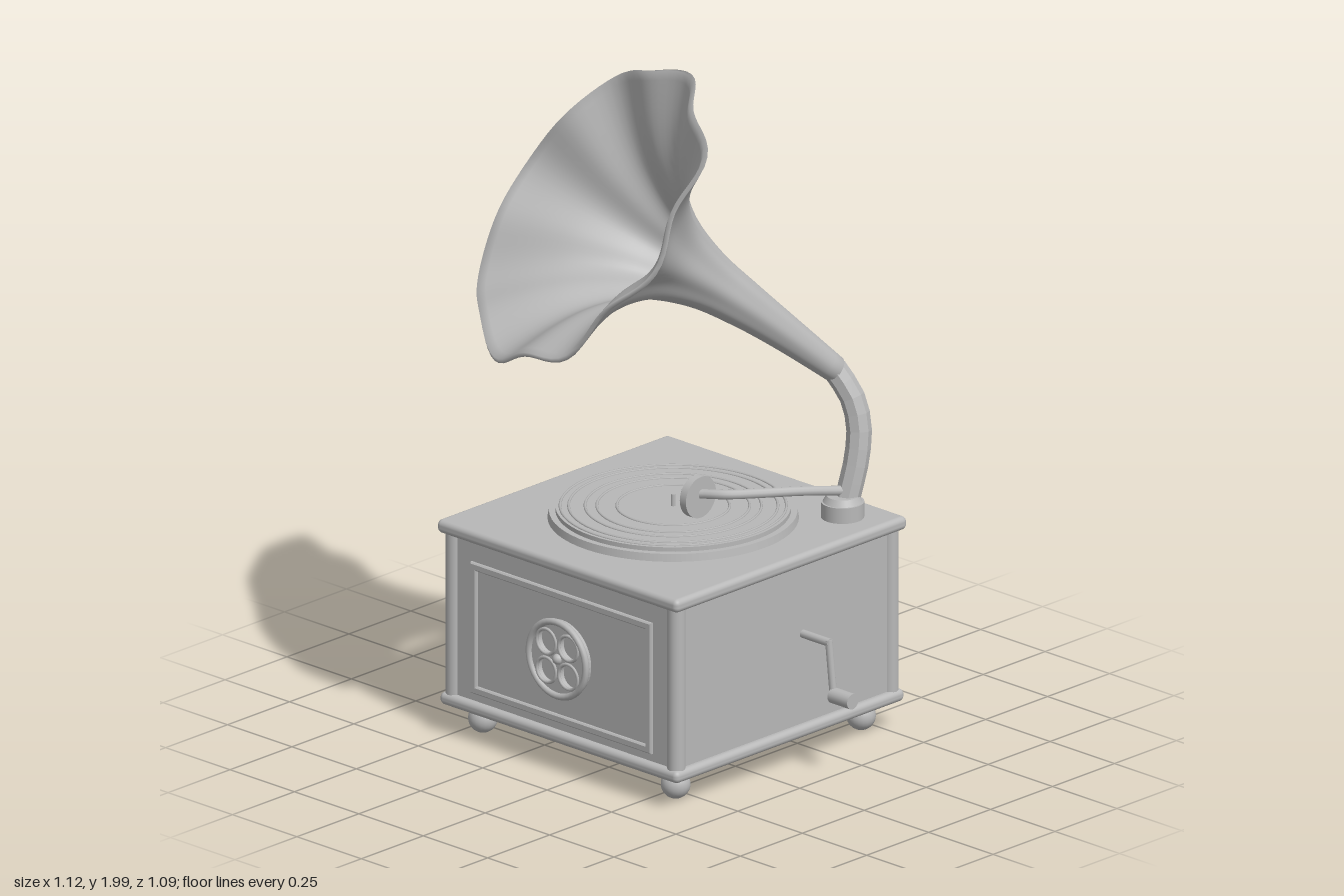
import * as THREE from 'three';
import { mergeVertices } from 'three/addons/utils/BufferGeometryUtils.js';
import { RoundedBoxGeometry } from 'three/addons/geometries/RoundedBoxGeometry.js';

const CX = -0.073, CZ = -0.08; // centre of the cabinet

export function createModel() {
  const root = new THREE.Group();
  root.name = 'gramophone';
  const grey = new THREE.MeshStandardMaterial({ color: 0xb8b8b8 });
  grey.name = 'plain grey';
  const faceted = grey.clone();
  faceted.flatShading = true;
  faceted.name = 'plain grey faceted';

  const V = (x, y, z) => new THREE.Vector3(x, y, z);
  const add = (name, geo, x = 0, y = 0, z = 0, mat = grey) => {
    const m = new THREE.Mesh(geo, mat);
    m.name = name;
    m.position.set(x, y, z);
    root.add(m);
    return m;
  };
  const cyl = (r, h, seg = 32, r2 = r) => new THREE.CylinderGeometry(r2, r, h, seg);
  const rod = (name, a, b, r, seg = 12) => {
    const m = add(name, cyl(r, a.distanceTo(b), seg));
    m.position.copy(a).lerp(b, 0.5);
    m.quaternion.setFromUnitVectors(V(0, 1, 0), b.clone().sub(a).normalize());
    return m;
  };

  // Cabinet with rounded top and bottom boards
  add('cabinetBody', new THREE.BoxGeometry(0.885, 0.5, 0.885), CX, 0.355, CZ);
  add('topBoard', new RoundedBoxGeometry(0.935, 0.04, 0.935, 3, 0.016), CX, 0.617, CZ);
  add('bottomBoard', new RoundedBoxGeometry(0.925, 0.037, 0.925, 3, 0.016), CX, 0.102, CZ);

  // Corner posts and ball feet
  for (const sx of [-1, 1]) for (const sz of [-1, 1]) {
    add('cornerPost', cyl(0.026, 0.49, 20), CX + sx * 0.43, 0.355, CZ + sz * 0.43);
    add('foot', new THREE.SphereGeometry(0.042, 20, 14), CX + sx * 0.374, 0.042, CZ + sz * 0.374);
  }

  // Front moulding
  const rect = (S, w, h) => {
    const s = new S();
    s.moveTo(-w, -h); s.lineTo(w, -h); s.lineTo(w, h); s.lineTo(-w, h); s.closePath();
    return s;
  };
  const frame = rect(THREE.Shape, 0.347, 0.192);
  frame.holes.push(rect(THREE.Path, 0.332, 0.177));
  const front = CZ + 0.4425;
  add('frontMoulding', new THREE.ExtrudeGeometry(frame, {
    depth: 0.006, bevelEnabled: true, bevelSize: 0.004, bevelThickness: 0.004, bevelSegments: 1,
  }), CX, 0.34, front);

  // Pierced medallion
  const disc = new THREE.Shape().absarc(0, 0, 0.112, 0, Math.PI * 2);
  const spots = [0, 1, 2, 3].map(i => {
    const a = Math.PI / 4 + i * Math.PI / 2;
    return [Math.cos(a) * 0.06, Math.sin(a) * 0.06];
  });
  for (const [x, y] of spots) {
    disc.holes.push(new THREE.Path().absarc(x, y, 0.037, 0, Math.PI * 2, true));
    add('medallionHoleRim', new THREE.TorusGeometry(0.037, 0.005, 8, 24), CX + x, 0.34 + y, front + 0.02);
  }
  add('medallion', new THREE.ExtrudeGeometry(disc, { depth: 0.02, bevelEnabled: false, curveSegments: 24 }), CX, 0.34, front);
  add('medallionRim', new THREE.TorusGeometry(0.11, 0.01, 10, 40), CX, 0.34, front + 0.02);
  add('medallionHub', new THREE.SphereGeometry(0.016, 14, 10), CX, 0.34, front + 0.018);

  // Turntable, record with groove ridges, spindle
  const tx = -0.073, tz = -0.085;
  add('turntable', cyl(0.352, 0.022, 64, 0.348), tx, 0.648, tz);
  add('record', cyl(0.33, 0.014, 64), tx, 0.665, tz);
  for (const r of [0.317, 0.293, 0.247, 0.214, 0.158]) {
    add('recordGroove', new THREE.TorusGeometry(r, 0.004, 6, 64), tx, 0.672, tz).rotation.x = Math.PI / 2;
  }
  add('spindle', cyl(0.007, 0.045, 12), tx, 0.685, tz);

  // Winding crank
  const cz = -0.148;
  rod('crankShaft', V(0.36, 0.388, cz), V(0.475, 0.388, cz), 0.012);
  rod('crankArm', V(0.47, 0.395, cz), V(0.488, 0.235, cz), 0.011);
  rod('crankPin', V(0.478, 0.235, cz), V(0.51, 0.235, cz), 0.012);
  rod('crankHandle', V(0.487, 0.235, cz), V(0.563, 0.235, cz), 0.023, 20);

  // Pedestal, tone arm, sound box
  add('armPedestal', cyl(0.061, 0.046, 32), 0.264, 0.66, -0.418);
  add('armCollar', cyl(0.057, 0.02, 32, 0.045), 0.264, 0.691, -0.418);
  const armPath = new THREE.CatmullRomCurve3([
    V(0.268, 0.715, -0.42), V(0.225, 0.735, -0.3), V(0.165, 0.745, -0.18), V(0.115, 0.75, -0.1), V(0.05, 0.745, -0.066),
  ]);
  add('toneArm', new THREE.TubeGeometry(armPath, 24, 0.014, 10));
  const box = add('soundBox', cyl(0.061, 0.024, 36), 0.043, 0.736, -0.064);
  box.rotation.z = Math.PI / 2;
  const boxRim = add('soundBoxRim', new THREE.TorusGeometry(0.052, 0.006, 8, 36), 0.031, 0.736, -0.064);
  boxRim.rotation.y = Math.PI / 2;
  rod('needle', V(0.043, 0.7, -0.064), V(0.04, 0.672, -0.062), 0.005, 8);

  // Faceted elbow from the pedestal to the horn
  const elbow = new THREE.CatmullRomCurve3([
    V(0.27, 0.69, -0.432), V(0.276, 0.8, -0.462), V(0.27, 0.89, -0.478), V(0.245, 0.975, -0.476), V(0.197, 1.055, -0.452),
  ]);
  add('elbow', new THREE.TubeGeometry(elbow, 8, 0.036, 8), 0, 0, 0, faceted);

  // Horn: double-walled lathe, fluted into eight lobes towards the rim
  const start = V(0.2, 1.05, -0.455), mouth = V(-0.11, 1.61, 0.21);
  const axis = mouth.clone().sub(start), len = axis.length();
  axis.normalize();
  const up = V(0, 1, 0).addScaledVector(axis, -axis.y).normalize();
  const curve = new THREE.SplineCurve([
    [0.038, 0], [0.052, 0.2], [0.067, 0.36], [0.089, 0.51], [0.14, 0.655],
    [0.228, 0.77], [0.33, 0.85], [0.47, 0.925],
  ].map(p => new THREE.Vector2(...p))).getPoints(30);
  const inner = curve.map(p => new THREE.Vector2(p.x - 0.008, p.y + 0.01 * p.x / 0.47)).reverse();
  let horn = new THREE.LatheGeometry([...curve, ...inner, curve[0]], 96);
  const pos = horn.attributes.position;
  for (let i = 0; i < pos.count; i++) {
    const x = pos.getX(i), y = pos.getY(i), z = pos.getZ(i);
    const t = Math.min(1, Math.max(0, y / len));
    const wave = Math.cos(8 * Math.atan2(x, z));
    const k = 1 + 0.038 * t * wave;
    pos.setXYZ(i, x * k, y - 0.012 * t ** 6 * wave, z * k + 0.02 * Math.sin(Math.PI * t));
  }
  horn.deleteAttribute('normal');
  horn.deleteAttribute('uv');
  horn = mergeVertices(horn, 1e-5);
  horn.computeVertexNormals();
  const hornMesh = add('horn', horn, start.x, start.y, start.z);
  hornMesh.quaternion.setFromRotationMatrix(
    new THREE.Matrix4().makeBasis(axis.clone().cross(up), axis, up));

  return root;
}
